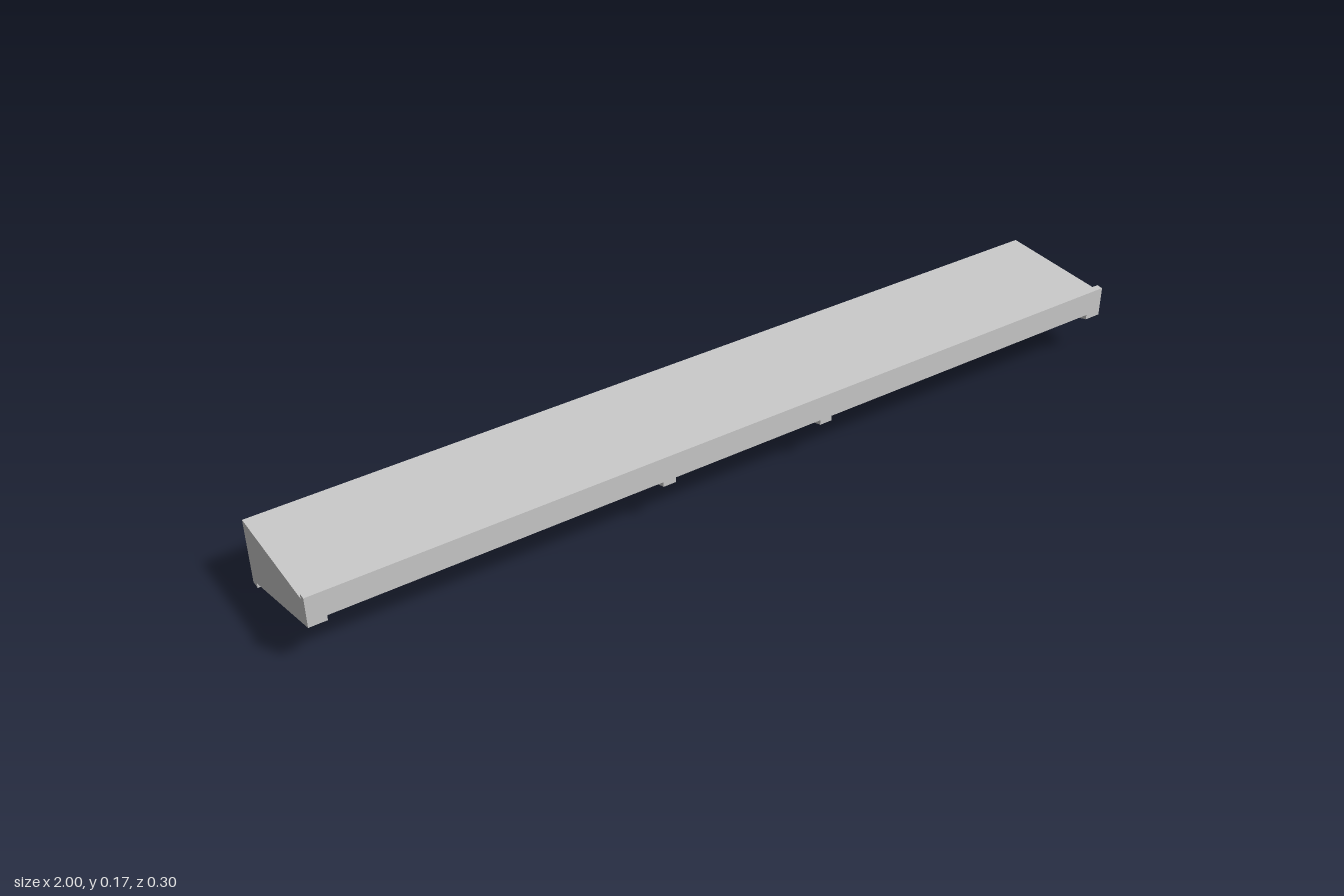
import * as THREE from 'three';

const material = new THREE.MeshStandardMaterial({ color: 0xcccccc, flatShading: true });

// Extrudes a [z, y] side profile along x, centred on the given x
function profilePart(name, points, width, x) {
  const shape = new THREE.Shape(points.map(([z, y]) => new THREE.Vector2(z, y)));
  const geometry = new THREE.ExtrudeGeometry(shape, { depth: width, bevelEnabled: false });
  geometry.translate(0, 0, -width / 2);
  geometry.rotateY(-Math.PI / 2);
  const mesh = new THREE.Mesh(geometry, material);
  mesh.name = name;
  mesh.position.x = x;
  return mesh;
}

export function createModel() {
  const group = new THREE.Group();
  group.name = 'shelf';

  const front = 0.15, back = -0.15, underside = 0.11;

  // Board with a raised lip along its front edge
  group.add(profilePart('shelfBoard', [
    [back, underside], [front, underside], [front, 0.17],
    [0.134, 0.17], [0.134, 0.158], [back, 0.158],
  ], 2, 0));

  // Tapered brackets with a small foot at the back
  const bracket = [
    [back, 0], [-0.128, 0], [-0.128, 0.012],
    [front, 0.098], [front, underside], [back, underside],
  ];
  for (const side of [1, -1]) {
    const label = side > 0 ? 'left' : 'right';
    group.add(profilePart(label + 'EndBracket', bracket, 0.04, side * 0.98));
    group.add(profilePart(label + 'MiddleBracket', bracket, 0.03, side * 0.2));
  }
  return group;
}
